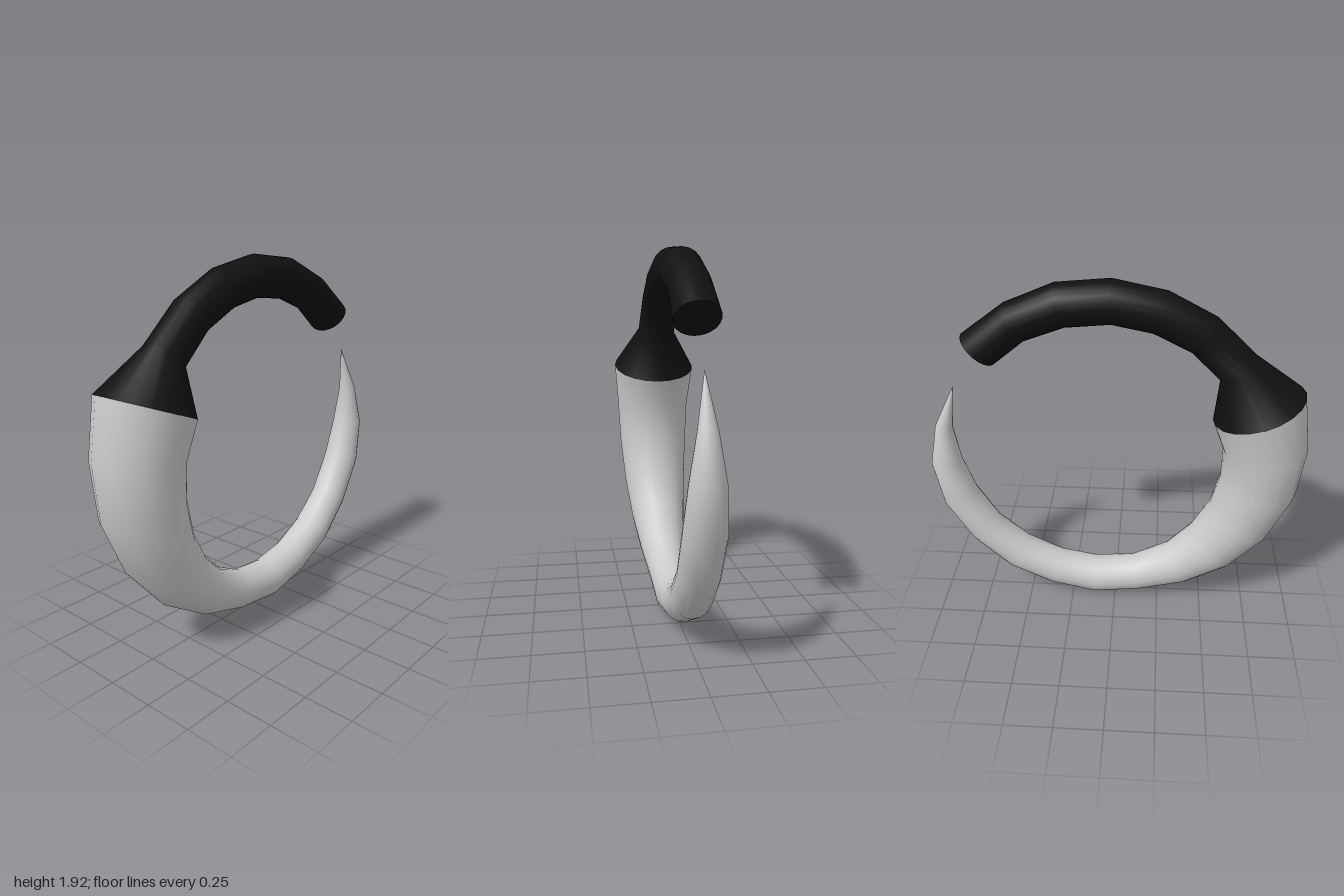
import * as THREE from 'three';

const SIDES = 20;

// Round tube through rings given as [outerX, outerY, innerX, innerY], listed clockwise from the front
function ringTube(rings, capEnd) {
  const pos = [], idx = [];
  const addRing = ([ox, oy, ix, iy]) => {
    const cx = (ox + ix) / 2, cy = (oy + iy) / 2;
    const ux = (ox - ix) / 2, uy = (oy - iy) / 2;
    const r = Math.hypot(ux, uy);
    for (let j = 0; j < SIDES; j++) {
      const a = (j / SIDES) * Math.PI * 2;
      pos.push(cx + ux * Math.cos(a), cy + uy * Math.cos(a), r * Math.sin(a));
    }
  };
  rings.forEach(addRing);
  for (let i = 0; i < rings.length - 1; i++) {
    for (let j = 0; j < SIDES; j++) {
      const a = i * SIDES + j, b = i * SIDES + ((j + 1) % SIDES);
      const c = a + SIDES, d = b + SIDES;
      idx.push(a, b, c, b, d, c);
    }
  }
  // Flat end with its own vertices, so the rim stays sharp
  if (capEnd) {
    const start = rings.length * SIDES;
    addRing(rings[rings.length - 1]);
    for (let j = 1; j < SIDES - 1; j++) idx.push(start, start + j, start + j + 1);
  }
  const geo = new THREE.BufferGeometry();
  geo.setAttribute('position', new THREE.Float32BufferAttribute(pos, 3));
  geo.setIndex(idx);
  geo.computeVertexNormals();
  return geo;
}

export function createModel() {
  const group = new THREE.Group();
  const seam = [-0.95, 1.36, -0.5, 1.19];

  // Curved blade: pointed tip, thickening around the bottom to the seam
  const blade = new THREE.Mesh(
    ringTube([
      [0.825, 1.35, 0.825, 1.35],
      [0.95, 1.11, 0.86, 1.10],
      [1.0, 0.88, 0.835, 0.89],
      [0.96, 0.63, 0.775, 0.70],
      [0.82, 0.38, 0.66, 0.50],
      [0.62, 0.18, 0.50, 0.35],
      [0.38, 0.06, 0.31, 0.255],
      [0.12, 0.0, 0.11, 0.215],
      [-0.15, 0.03, -0.10, 0.235],
      [-0.42, 0.11, -0.29, 0.33],
      [-0.66, 0.26, -0.43, 0.48],
      [-0.85, 0.48, -0.52, 0.65],
      [-0.97, 0.76, -0.565, 0.84],
      [-1.0, 1.06, -0.565, 1.02],
      seam,
    ], false),
    new THREE.MeshStandardMaterial({ color: 0xcccccc, side: THREE.DoubleSide })
  );
  blade.name = 'curvedHorn';

  // Dark handle: flared collar narrowing to an even grip
  const handle = new THREE.Mesh(
    ringTube([
      seam,
      [-0.69, 1.55, -0.52, 1.42],
      [-0.49, 1.74, -0.37, 1.57],
      [-0.25, 1.865, -0.18, 1.665],
      [0.02, 1.92, 0.02, 1.705],
      [0.29, 1.895, 0.24, 1.685],
      [0.54, 1.79, 0.44, 1.61],
      [0.755, 1.63, 0.60, 1.48],
    ], true),
    new THREE.MeshStandardMaterial({ color: 0x111111, side: THREE.DoubleSide })
  );
  handle.name = 'handle';

  group.add(blade, handle);
  return group;
}
